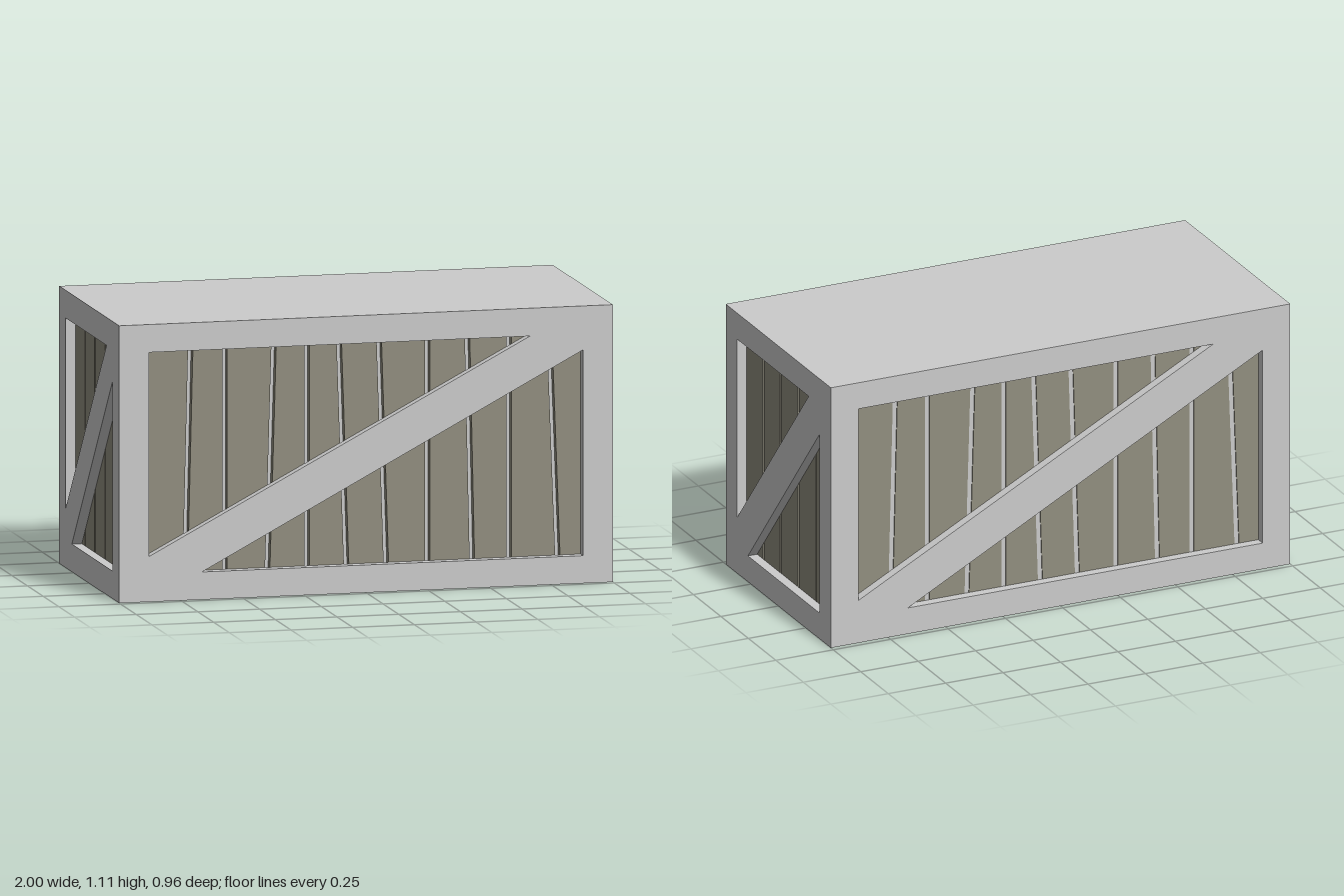
import * as THREE from 'three';

const H = 1.105, HX = 1, HZ = 0.478, T = 0.04; // crate height, half sizes, frame thickness
const Y0 = 0.11, Y1 = 0.994; // opening bottom and top

const grey = new THREE.MeshStandardMaterial({ color: 0xcccccc, flatShading: true });
const wood = new THREE.MeshStandardMaterial({ color: 0x918e7f, flatShading: true });

const poly = (points) => points.map(([x, y]) => new THREE.Vector2(x, y));

function extrude(name, shape, depth, z, material) {
  const geo = new THREE.ExtrudeGeometry(shape, { depth, bevelEnabled: false });
  const mesh = new THREE.Mesh(geo, material);
  mesh.name = name;
  mesh.position.z = z;
  return mesh;
}

function box(name, x0, x1, y0, y1, z0, z1) {
  const mesh = new THREE.Mesh(new THREE.BoxGeometry(x1 - x0, y1 - y0, z1 - z0), grey);
  mesh.name = name;
  mesh.position.set((x0 + x1) / 2, (y0 + y1) / 2, (z0 + z1) / 2);
  return mesh;
}

// One wall facing +z: frame with a diagonal brace, and planks behind it
function wall(name, { half, open, inset, lowY, highY, face, gaps, gapWidth, plankDepth }) {
  const group = new THREE.Group();
  group.name = name;

  const frame = new THREE.Shape(poly([[-half, 0], [half, 0], [half, H], [-half, H]]));
  frame.holes.push(
    new THREE.Path(poly([[-open, lowY], [-open, Y1], [inset, Y1]])),
    new THREE.Path(poly([[-inset, Y0], [open, highY], [open, Y0]]))
  );
  group.add(extrude('bracedFrame', frame, T, face - T, grey));

  // Planks fill the space between neighbouring gaps; each gap is [x at bottom, x at top]
  const end = open + 0.02, g = gapWidth / 2;
  const cuts = [[-end - g, -end - g], ...gaps, [end + g, end + g]];
  for (let i = 0; i < cuts.length - 1; i++) {
    const [a, b] = [cuts[i], cuts[i + 1]];
    const plank = new THREE.Shape(poly([
      [a[0] + g, Y0 - 0.04], [b[0] - g, Y0 - 0.04], [b[1] - g, Y1 + 0.04], [a[1] + g, Y1 + 0.04]
    ]));
    group.add(extrude('plank', plank, plankDepth, face - T - plankDepth, wood));
  }
  return group;
}

export function createModel() {
  const crate = new THREE.Group();
  crate.name = 'crate';
  const deep = 0.03, shallow = 0.004;

  const long = {
    half: HX, open: 0.88, inset: 0.665, lowY: 0.18, highY: 0.93, face: HZ, gapWidth: 0.02,
    gaps: [[-0.723, -0.7], [-0.562, -0.562], [-0.39, -0.362], [-0.229, -0.229], [-0.068, -0.1],
      [0.093, 0.062], [0.26, 0.26], [0.441, 0.42], [0.59, 0.59], [0.788, 0.752]]
  };
  const short = {
    half: HZ - T, open: 0.374, inset: 0.276, lowY: 0.238, highY: 0.868, face: HX, gapWidth: 0.012,
    gaps: [-0.222, -0.063, 0.098, 0.26].map((x) => [x, x]), plankDepth: deep
  };

  // Four walls turned about the vertical axis
  const front = wall('frontWall', { ...long, plankDepth: deep });
  const back = wall('backWall', { ...long, plankDepth: shallow });
  const left = wall('leftWall', short);
  const right = wall('rightWall', short);
  back.rotation.y = Math.PI;
  left.rotation.y = Math.PI / 2;
  right.rotation.y = -Math.PI / 2;
  crate.add(front, back, left, right);

  // Lid, base and the inner body seen through the plank gaps
  const x = HX - T, z = HZ - T;
  crate.add(box('lid', -x, x, H - T, H, -z, z));
  crate.add(box('base', -x, x, 0, T, -z, z));
  crate.add(box('innerBody', -x + deep, x - deep, T, H - T, -z + shallow, z - deep));
  return crate;
}
